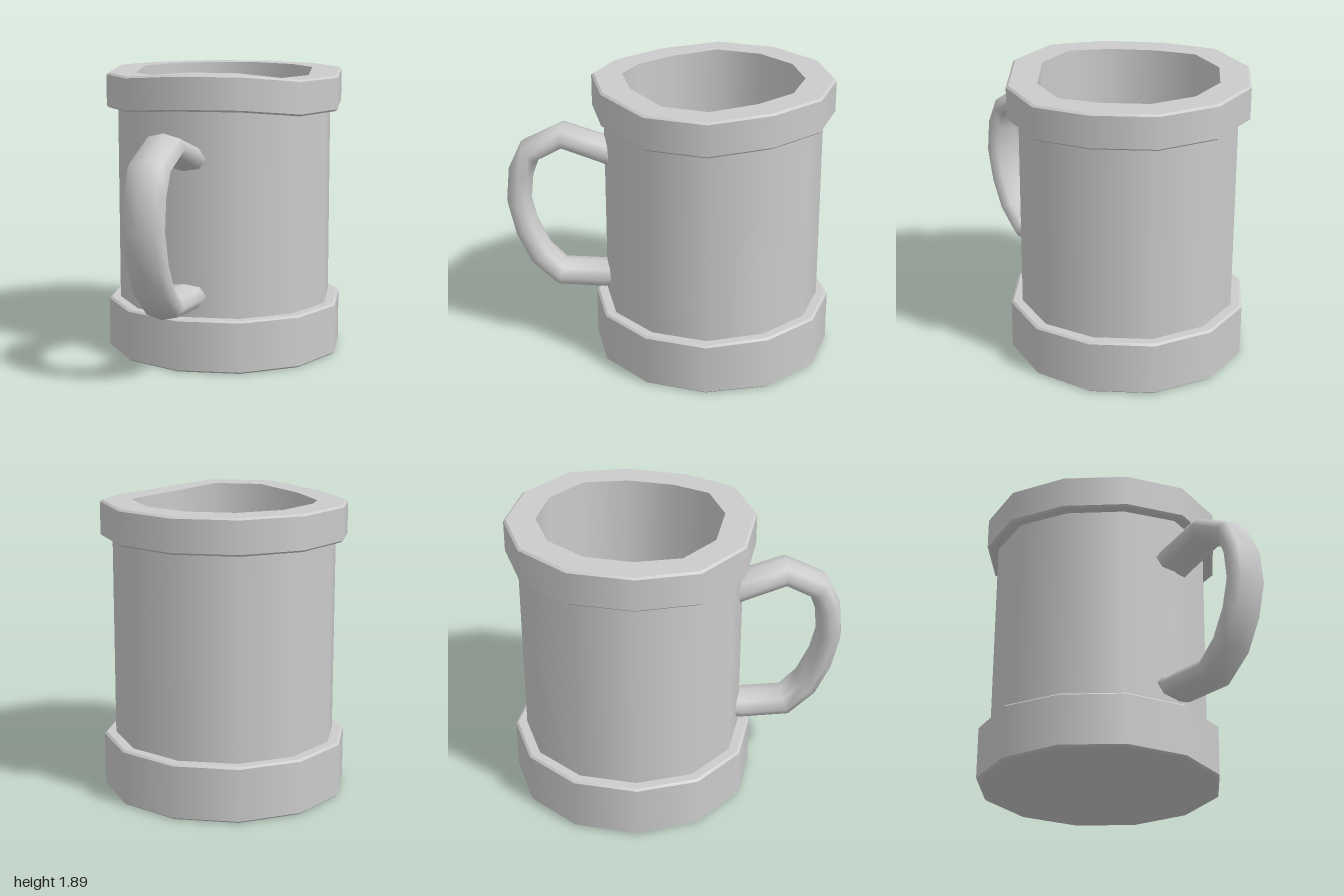
import * as THREE from 'three';
import { mergeGeometries } from 'three/addons/utils/BufferGeometryUtils.js';

const SIDES = 12, CENTER_Z = -0.21;
const PHASE = THREE.MathUtils.degToRad(-2);

// hand-made unevenness of the upper edges, one offset per corner, from the front towards +x
const RIM_WOBBLE = [0.01, -0.03, -0.03, 0, 0, 0, 0, 0, 0, -0.025, -0.02, 0.01];
const BASE_WOBBLE = [-0.015, -0.015, -0.015, 0, 0, 0, 0, 0, 0, -0.015, -0.015, -0.015];

// several lathed runs, kept separate so that the edge between two runs stays sharp
function turned(runs, wobble, fromY) {
  const geometry = mergeGeometries(runs.map((run) =>
    new THREE.LatheGeometry(run.map(([r, y]) => new THREE.Vector2(r, y)), SIDES, PHASE)));
  const p = geometry.attributes.position;
  for (let i = 0; wobble && i < p.count; i++) {
    if (p.getY(i) < fromY) continue;
    const turn = (Math.atan2(p.getX(i), p.getZ(i)) - PHASE) / (Math.PI * 2);
    const corner = (Math.round(turn * SIDES) + SIDES) % SIDES;
    p.setY(i, p.getY(i) + wobble[corner]);
  }
  geometry.translate(0, 0, CENTER_Z);
  return geometry;
}

// flattened tube swept along a path that lies in a vertical plane through the mug's axis
function handleGeometry() {
  const path = [[0.52, 1.30], [0.72, 1.38], [0.99, 1.472], [1.21, 1.36], [1.275, 1.21],
    [1.295, 1.01], [1.25, 0.81], [1.16, 0.62], [1.02, 0.485], [0.72, 0.475], [0.52, 0.52]]
    .map(([r, y]) => new THREE.Vector2(r, y));
  const out = new THREE.Vector3(-0.516, 0, 0.857);
  const side = new THREE.Vector3(-0.857, 0, -0.516);
  const N = 8, last = path.length - 1, positions = [], indices = [];

  const addRing = (k, scale) => {
    const a = path[Math.max(k - 1, 0)], b = path[Math.min(k + 1, last)];
    const t = b.clone().sub(a).normalize();
    for (let j = 0; j < N; j++) {
      const angle = (j / N) * Math.PI * 2;
      const h = Math.cos(angle) * 0.084 * scale;
      const v = out.clone().multiplyScalar(path[k].x - t.y * h)
        .addScaledVector(side, Math.sin(angle) * 0.145 * scale);
      positions.push(v.x, path[k].y + t.x * h, v.z + CENTER_Z);
    }
  };
  addRing(0, 0);
  path.forEach((_, k) => addRing(k, 1));
  addRing(last, 0);

  for (let i = 0; i < path.length + 1; i++) {
    for (let j = 0; j < N; j++) {
      const a = i * N + j, b = i * N + (j + 1) % N;
      indices.push(a, b, a + N, b, b + N, a + N);
    }
  }
  const geometry = new THREE.BufferGeometry();
  geometry.setAttribute('position', new THREE.Float32BufferAttribute(positions, 3));
  geometry.setIndex(indices);
  geometry.computeVertexNormals();
  return geometry;
}

export function createModel() {
  const group = new THREE.Group();
  group.name = 'mug';
  const material = new THREE.MeshStandardMaterial({ color: 0xcccccc });
  const add = (name, geometry) => {
    const mesh = new THREE.Mesh(geometry, material);
    mesh.name = name;
    group.add(mesh);
  };

  // straight outer wall
  add('body', turned([[[0.715, 0.3], [0.715, 1.7]]]));

  // inner wall running softly into the floor
  add('interior', turned([
    [[0.59, 1.885], [0.59, 0.32]],
    [[0.59, 0.32], [0.56, 0.25], [0.42, 0.21], [0.2, 0.2], [0, 0.2]],
  ], RIM_WOBBLE, 1.8));

  // wide band at the foot
  add('baseBand', turned([
    [[0, 0], [0.775, 0]],
    [[0.775, 0], [0.79, 0.012]],
    [[0.79, 0.012], [0.79, 0.348]],
    [[0.79, 0.348], [0.775, 0.36]],
    [[0.775, 0.36], [0.7, 0.36]],
  ], BASE_WOBBLE, 0.2));

  // band around the mouth
  add('rimBand', turned([
    [[0.7, 1.657], [0.775, 1.657]],
    [[0.775, 1.657], [0.79, 1.669]],
    [[0.79, 1.669], [0.79, 1.873]],
    [[0.79, 1.873], [0.775, 1.885]],
    [[0.775, 1.885], [0.59, 1.885]],
  ], RIM_WOBBLE, 1));

  add('handle', handleGeometry());
  return group;
}
